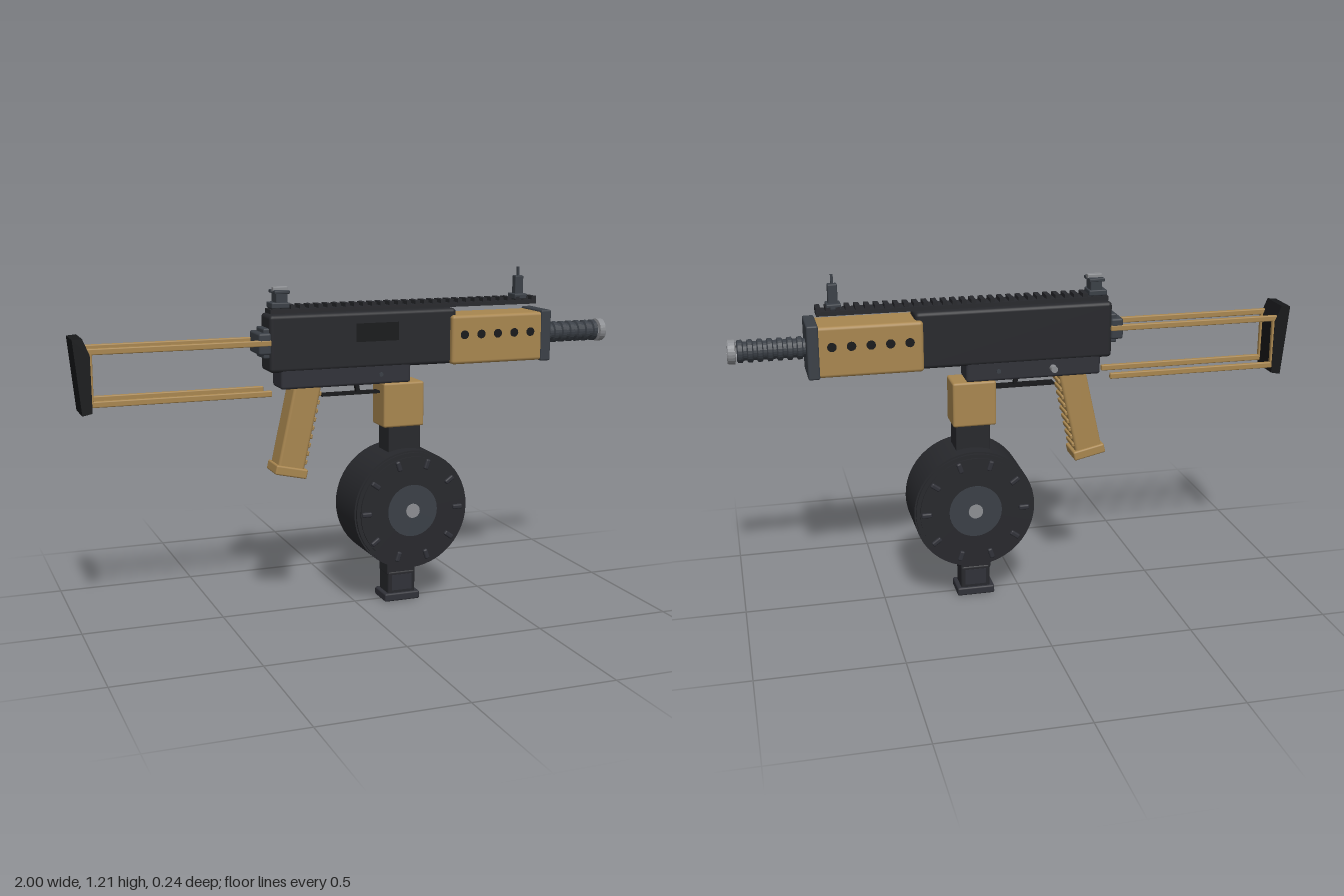
import * as THREE from 'three';
import { RoundedBoxGeometry } from 'three/addons/geometries/RoundedBoxGeometry.js';

const paint = (color) => new THREE.MeshStandardMaterial({ color });
const tan = paint(0xa8864f), dark = paint(0x27282c), steel = paint(0x3a3f46),
  slate = paint(0x303138), black = paint(0x17181a), silver = paint(0x8c8e92);

export function createModel() {
  const root = new THREE.Group();

  function add(name, geometry, material, x = 0, y = 0, z = 0, parent = root) {
    const mesh = new THREE.Mesh(geometry, material);
    mesh.name = name;
    mesh.position.set(x, y, z);
    parent.add(mesh);
    return mesh;
  }
  // Box given by its extents in x and y and half its depth; bevel rounds the edges
  function box(name, mat, x0, x1, y0, y1, hz, bevel = 0, z = 0, parent = root) {
    const w = x1 - x0, h = y1 - y0, d = hz * 2;
    const geo = bevel ? new RoundedBoxGeometry(w, h, d, 2, bevel) : new THREE.BoxGeometry(w, h, d);
    return add(name, geo, mat, (x0 + x1) / 2, (y0 + y1) / 2, z, parent);
  }
  // Disc whose axis lies along z
  function disc(name, mat, r, depth, x, y, z, parent = root, sides = 24) {
    const geo = new THREE.CylinderGeometry(r, r, depth, sides).rotateX(Math.PI / 2);
    return add(name, geo, mat, x, y, z, parent);
  }
  const lathe = (points, sides) =>
    new THREE.LatheGeometry(points.map(([r, y]) => new THREE.Vector2(r, y)), sides);

  // Receiver
  box('receiver', dark, -0.33, 0.37, 0.875, 1.075, 0.056, 0.014);
  box('lowerReceiver', slate, -0.29, 0.195, 0.815, 0.89, 0.053, 0.01);
  box('ejectionPort', black, -0.015, 0.145, 0.97, 1.035, 0.004, 0, 0.055);
  box('rearBlock', steel, -0.37, -0.325, 0.94, 1.015, 0.06, 0.008);
  box('rearBlockCore', steel, -0.35, -0.325, 0.925, 1.03, 0.045, 0.006);
  disc('selectorButton', silver, 0.012, 0.03, -0.115, 0.85, -0.065);
  disc('receiverPin', steel, 0.008, 0.112, 0.08, 0.85, 0);

  // Handguard with vent holes on both sides
  box('handguard', tan, 0.345, 0.71, 0.873, 1.05, 0.077, 0.012);
  for (const side of [-1, 1])
    for (let i = 0; i < 5; i++)
      disc('ventHole', black, 0.016, 0.004, 0.393 + i * 0.066, 0.98, side * 0.0765, root, 16);
  box('frontPlate', steel, 0.7, 0.74, 0.87, 1.057, 0.081, 0.006);

  // Top rail
  box('railBase', dark, -0.32, 0.7, 1.077, 1.092, 0.034);
  for (let i = 0; i < 31; i++) {
    const x = -0.312 + i * 0.0332;
    box('railTooth', dark, x, x + 0.017, 1.09, 1.105, 0.03);
  }

  // Barrel: ribbed tube with a light hollow tip
  const ribs = [[0.032, 0.72]];
  for (let i = 0; i < 7; i++) {
    const x = 0.748 + i * 0.033;
    ribs.push([0.032, x], [0.039, x + 0.004], [0.039, x + 0.018], [0.032, x + 0.022]);
  }
  const barrel = lathe(ribs, 24).toNonIndexed();
  barrel.computeVertexNormals();
  add('barrel', barrel.rotateZ(-Math.PI / 2), steel, 0, 0.965, 0);
  const tip = lathe([[0.03, 0.972], [0.042, 0.974], [0.042, 0.996], [0.038, 1],
    [0.02, 1], [0.02, 0.95]], 24).toNonIndexed();
  tip.computeVertexNormals();
  add('muzzleTip', tip.rotateZ(-Math.PI / 2), silver, 0, 0.965, 0);
  const bore = new THREE.CylinderGeometry(0.021, 0.021, 0.01, 20).rotateZ(Math.PI / 2);
  add('boreEnd', bore, black, 0.955, 0.965, 0);

  // Sights
  box('rearSightBase', steel, -0.315, -0.25, 1.095, 1.115, 0.034, 0.004);
  box('rearSightBody', steel, -0.298, -0.256, 1.1, 1.155, 0.03, 0.004);
  for (const side of [-1, 1])
    box('rearSightEar', steel, -0.305, -0.25, 1.145, 1.157, 0.012, 0.003, side * 0.025);
  box('rearSightAperture', silver, -0.303, -0.25, 1.152, 1.168, 0.012, 0.003);
  box('frontSightBase', steel, 0.615, 0.665, 1.095, 1.115, 0.03, 0.004);
  box('frontSightBody', steel, 0.624, 0.657, 1.1, 1.18, 0.014, 0.004);
  box('frontSightPost', steel, 0.636, 0.645, 1.17, 1.212, 0.004);

  // Skeleton stock: four rods, two uprights and a slanted butt plate
  for (const side of [-1, 1]) {
    box('upperStockRod', tan, -0.955, -0.325, 0.97, 0.991, 0.008, 0.004, side * 0.053);
    box('lowerStockRod', tan, -0.955, -0.325, 0.795, 0.816, 0.008, 0.004, side * 0.053);
    box('stockUpright', tan, -0.965, -0.936, 0.797, 0.989, 0.008, 0.004, side * 0.053);
  }
  const butt = new THREE.Shape([[-1, 1.023], [-0.976, 0.77], [-0.942, 0.777], [-0.944, 0.97],
    [-0.967, 1.026]].map(([x, y]) => new THREE.Vector2(x, y)));
  add('buttPlate', new THREE.ExtrudeGeometry(butt, { depth: 0.126, bevelEnabled: false }),
    black, 0, 0, -0.063);

  // Pistol grip, leaning back, with finger ribs on its front
  const grip = new THREE.Group();
  grip.name = 'pistolGrip';
  grip.position.set(-0.185, 0.83, 0);
  grip.rotation.z = -0.22;
  root.add(grip);
  box('gripBody', tan, -0.052, 0.046, -0.315, 0.01, 0.047, 0.01, 0, grip);
  box('gripBase', tan, -0.06, 0.058, -0.334, -0.3, 0.055, 0.006, 0, grip);
  for (let i = 0; i < 9; i++) {
    const y = -0.285 + i * 0.031;
    box('gripRib', tan, 0.04, 0.054, y, y + 0.017, 0.04, 0.004, 0, grip);
  }

  // Trigger and guard
  box('triggerGuard', black, -0.13, 0.1, 0.777, 0.785, 0.02);
  const trigger = box('trigger', black, 0.0, 0.014, 0.782, 0.83, 0.009);
  trigger.rotation.z = 0.15;

  // Magazine well and neck
  box('magazineWell', tan, 0.09, 0.245, 0.655, 0.817, 0.058, 0.008);
  box('magazineNeck', dark, 0.112, 0.235, 0.52, 0.67, 0.05, 0.004);

  // Drum magazine
  const drum = new THREE.Group();
  drum.name = 'drumMagazine';
  drum.position.set(0.18, 0.357, 0);
  root.add(drum);
  disc('drumBody', dark, 0.218, 0.196, 0, 0, 0, drum, 48);
  disc('drumCaps', dark, 0.212, 0.214, 0, 0, 0, drum, 48);
  disc('drumFace', dark, 0.198, 0.226, 0, 0, 0, drum, 48);
  disc('hubDisc', steel, 0.095, 0.231, 0, 0, 0, drum, 32);
  disc('hubCentre', silver, 0.026, 0.238, 0, 0, 0, drum);
  for (const side of [-1, 1])
    for (let i = 0; i < 10; i++) {
      const a = i * Math.PI / 5;
      const stud = add('drumStud', new RoundedBoxGeometry(0.038, 0.018, 0.02, 2, 0.006), slate,
        Math.cos(a) * 0.176, Math.sin(a) * 0.176, side * 0.112, drum);
      stud.rotation.z = a;
    }

  // Foot below the drum
  box('footNeck', dark, 0.112, 0.222, 0.1, 0.18, 0.042, 0.005);
  box('footBlock', dark, 0.115, 0.222, 0.02, 0.112, 0.044, 0.008);
  for (const side of [-1, 1])
    box('footPanel', slate, 0.13, 0.207, 0.04, 0.098, 0.003, 0, side * 0.043);
  box('footBase', slate, 0.1, 0.237, 0, 0.03, 0.053, 0.006);

  return root;
}
